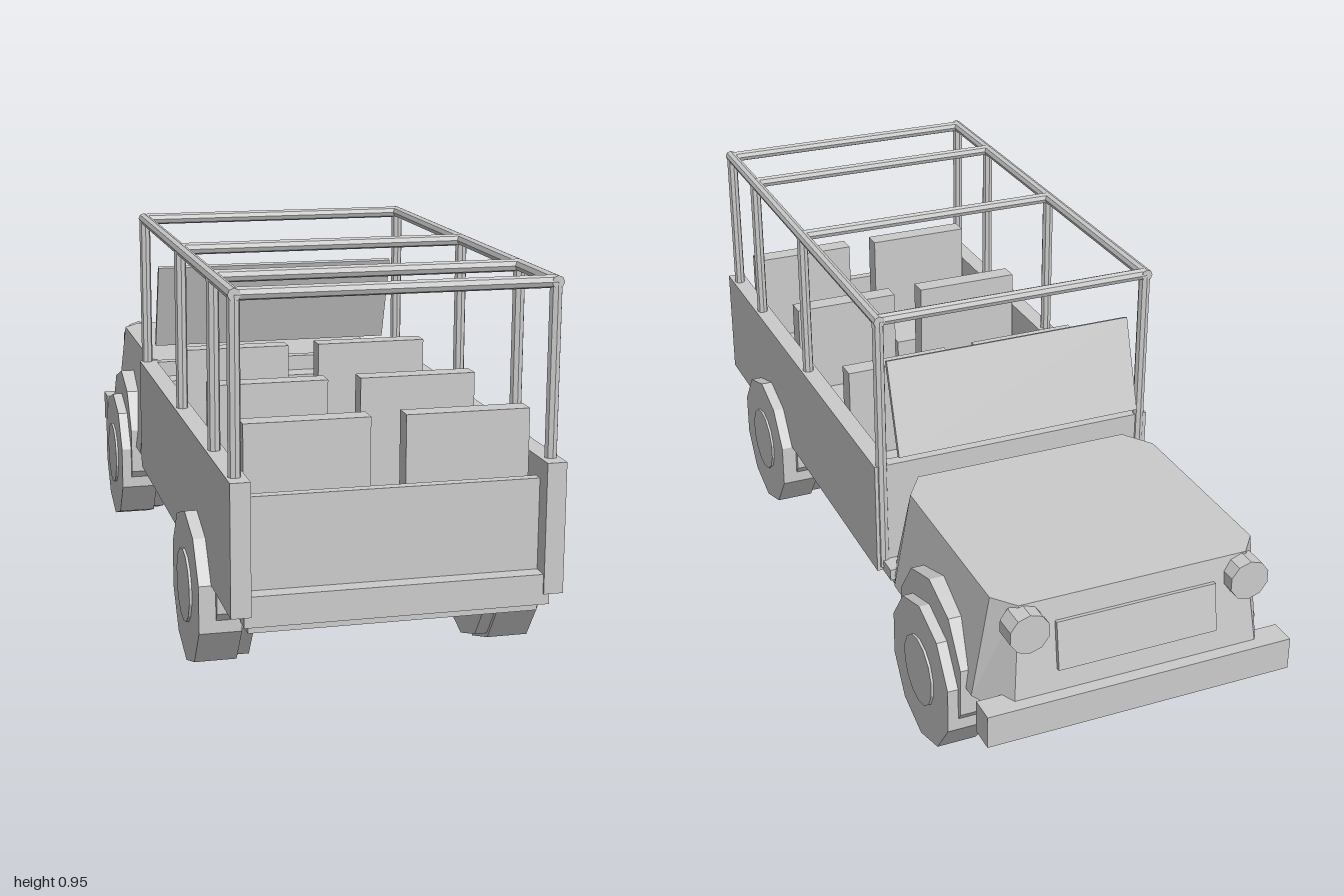
import * as THREE from 'three';

const mat = new THREE.MeshStandardMaterial({ color: 0xcccccc, flatShading: true });

export function createModel() {
  const car = new THREE.Group();
  car.name = 'openTourCar';

  const add = (name, geometry) => {
    const m = new THREE.Mesh(geometry, mat);
    m.name = name;
    car.add(m);
    return m;
  };
  // box given by its limits
  const box = (name, x0, x1, y0, y1, z0, z1) => {
    const m = add(name, new THREE.BoxGeometry(x1 - x0, y1 - y0, z1 - z0));
    m.position.set((x0 + x1) / 2, (y0 + y1) / 2, (z0 + z1) / 2);
    return m;
  };
  // cylinder between two points
  const rod = (name, a, b, r, sides = 8) => {
    const p = new THREE.Vector3(...a), q = new THREE.Vector3(...b);
    const m = add(name, new THREE.CylinderGeometry(r, r, p.distanceTo(q), sides));
    m.position.copy(p).add(q).multiplyScalar(0.5);
    m.quaternion.setFromUnitVectors(new THREE.Vector3(0, 1, 0), q.sub(p).normalize());
    return m;
  };
  // decagonal prism lying along x, one corner up
  const disc = (name, x0, x1, y, z, r, sides = 10) => {
    const g = new THREE.CylinderGeometry(r, r, Math.abs(x1 - x0), sides);
    g.rotateY(Math.PI / 2).rotateZ(Math.PI / 2);
    const m = add(name, g);
    m.position.set((x0 + x1) / 2, y, z);
    return m;
  };

  // chassis and open tub
  box('chassis', -0.33, 0.33, 0.19, 0.25, -0.97, 0.96);
  box('floor', -0.34, 0.34, 0.24, 0.27, -0.27, 0.96);
  box('tubFrontWall', -0.34, 0.34, 0.24, 0.54, -0.275, -0.245);
  box('dashboard', -0.33, 0.33, 0.4, 0.5, -0.25, -0.18);
  box('cowlSill', -0.36, 0.36, 0.24, 0.27, -0.33, -0.27);
  box('tailPanel', -0.33, 0.33, 0.26, 0.495, 0.93, 0.955);
  box('rearBumper', -0.345, 0.345, 0.215, 0.285, 0.95, 0.995);
  for (const s of [-1, 1]) {
    const wall = box('tubSideWall', -0.0225, 0.0225, 0.24, 0.54, -0.275, 1);
    wall.position.x = s * 0.3525;
  }

  // bonnet: two eight-sided loops joined by sloping sides
  const loop = (pts, y) => {
    const half = pts.map(([x, z]) => [x, y, z]);
    return half.concat(half.map(([x, , z]) => [-x, y, z]).reverse());
  };
  const low = loop([[0.33, -0.285], [0.365, -0.37], [0.365, -0.86], [0.31, -0.975]], 0.25);
  const high = loop([[0.28, -0.325], [0.33, -0.4], [0.33, -0.88], [0.285, -0.935]], 0.52);
  const pos = [];
  const n = low.length;
  for (let i = 0; i < n; i++) {
    const j = (i + 1) % n;
    pos.push(...low[i], ...low[j], ...high[j], ...low[i], ...high[j], ...high[i]);
    if (i > 0 && i < n - 1) {
      pos.push(...high[0], ...high[i], ...high[j]);
      pos.push(...low[0], ...low[j], ...low[i]);
    }
  }
  const bonnet = new THREE.BufferGeometry();
  bonnet.setAttribute('position', new THREE.Float32BufferAttribute(pos, 3));
  bonnet.computeVertexNormals();
  add('bonnet', bonnet);

  // nose details
  box('frontBumper', -0.385, 0.385, 0.21, 0.292, -1, -0.935);
  const grille = box('grille', -0.2, 0.2, 0.345, 0.465, -0.963, -0.943);
  grille.rotation.x = 0.147;
  for (const s of [-1, 1]) {
    rod('headlight', [s * 0.275, 0.468, -0.92], [s * 0.275, 0.468, -0.977], 0.05, 10);
  }

  // tilted windscreen
  const screen = box('windscreen', -0.325, 0.325, 0.57, 0.81, -0.279, -0.267);
  screen.rotation.x = 0.315;

  // three rows of paired seats
  for (const z of [0.07, 0.49, 0.87]) {
    for (const s of [-1, 1]) {
      const x = s * 0.1825;
      box('seatCushion', x - 0.1425, x + 0.1425, 0.26, 0.39, z - 0.21, z);
      box('seatBack', x - 0.1425, x + 0.1425, 0.26, 0.64, z - 0.025, z + 0.025);
    }
  }

  // roll cage
  const top = 0.932, cx = 0.355, r = 0.0145;
  for (const z of [0.95, 0.72, 0.3, -0.268]) {
    for (const s of [-1, 1]) {
      rod('cagePost', [s * cx, z < 0 ? 0.25 : 0.5, z], [s * cx, top, z], r);
    }
    rod('cageCrossBar', [-cx, top, z], [cx, top, z], r);
  }
  for (const s of [-1, 1]) {
    rod('cageRail', [s * cx, top, -0.282], [s * cx, top, 0.964], r);
  }

  // wheels with their arches
  for (const z of [0.6, -0.64]) {
    for (const s of [-1, 1]) {
      disc('wheelArch', s * 0.28, s * (z > 0 ? 0.365 : 0.378), 0.237, z, 0.198);
      disc('tyreInner', s * 0.275, s * 0.31, 0.185, z, 0.175);
      disc('tyre', s * 0.305, s * 0.404, 0.183, z, 0.183);
      disc('hubCap', s * 0.4, s * 0.41, 0.187, z, 0.088, 14);
    }
  }
  return car;
}
